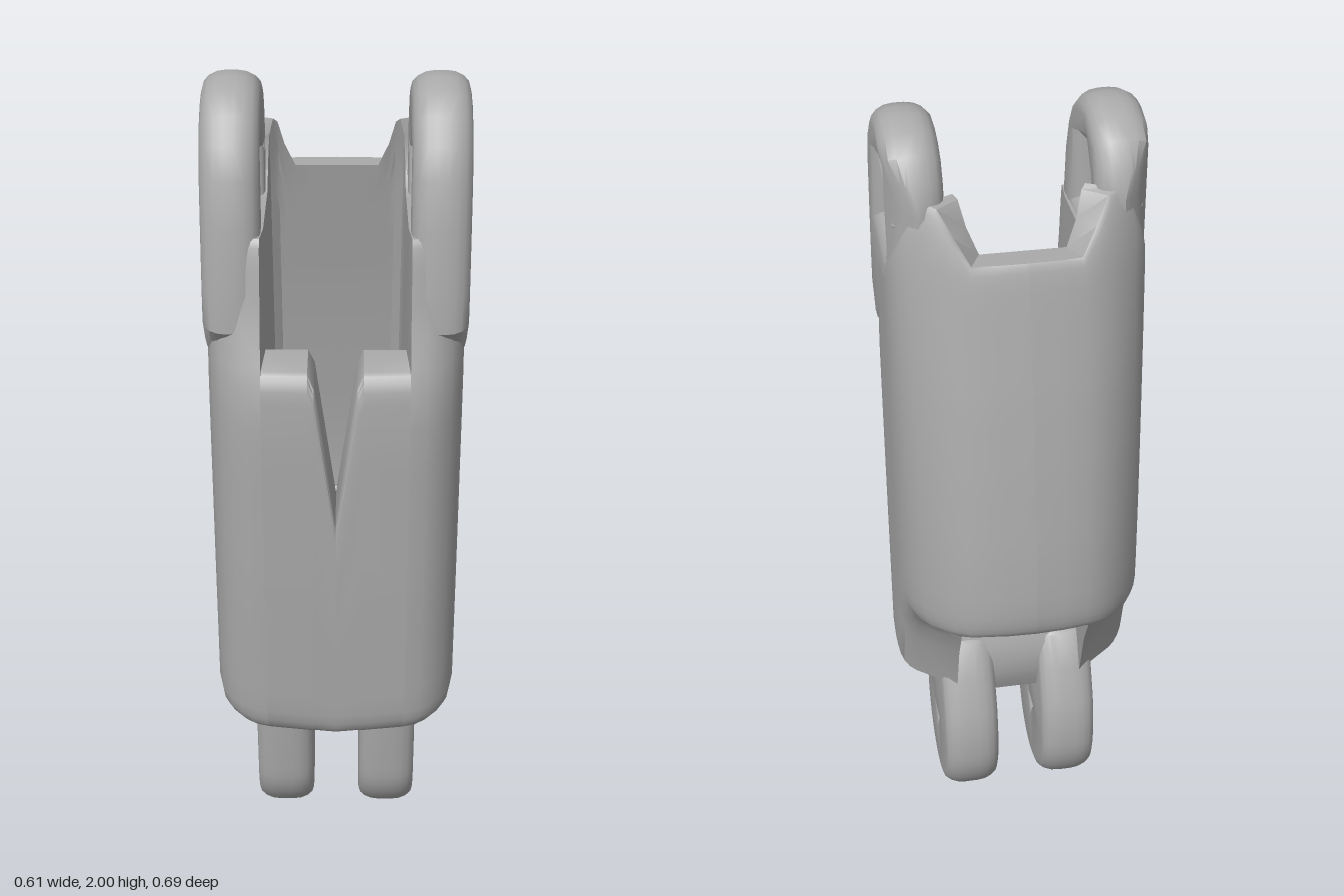
import * as THREE from 'three';
import { toCreasedNormals } from 'three/addons/utils/BufferGeometryUtils.js';

const lerp = THREE.MathUtils.lerp;

// Piecewise linear curve through [y, value] knots
function curve(knots) {
  return (y) => {
    if (y <= knots[0][0]) return knots[0][1];
    for (let i = 1; i < knots.length; i++) {
      const [a, va] = knots[i - 1], [b, vb] = knots[i];
      if (y <= b) return lerp(va, vb, (y - a) / (b - a));
    }
    return knots[knots.length - 1][1];
  };
}
const frontZ = curve([[0.36, 0.305], [0.8, 0.332], [1.2, 0.347], [1.35, 0.345], [1.43, 0.312], [1.5, 0.292], [1.7, 0.265]]);
const backZ = curve([[0.85, 0.347], [1.0, 0.333], [1.2, 0.305], [1.4, 0.272], [1.72, 0.208], [1.85, 0.165]]);

// Wall columns: outer x, outer depth (-1 back .. 1 front), inner x, inner depth (0 back .. 1 front), bottom y, top y
const frontColumns = [
  [0, 1, 0, 1, 0.345, 1.0],
  [0.05, 1, 0.05, 1, 0.35, 1.35],
  [0.065, 1, 0.065, 1, 0.35, 1.38],
  [0.172, 0.99, 0.165, 1, 0.36, 1.38],
];
const sideColumns = [
  [0.172, 0.99, 0.165, 1, 0.36, 1.68],
  [0.21, 0.975, 0.165, 0.99, 0.365, 1.68],
  [0.24, 0.93, 0.165, 0.98, 0.37, 1.68],
  [0.267, 0.85, 0.165, 0.94, 0.375, 1.68],
  [0.287, 0.75, 0.165, 0.9, 0.38, 1.68],
  [0.3, 0.55, 0.165, 0.75, 0.385, 1.68],
  [0.305, 0.25, 0.165, 0.5, 0.4, 1.68],
  [0.305, 0.04, 0.165, 0.38, 0.42, 1.68],
  [0.305, -0.09, 0.165, 0.28, 0.57, 1.68],
  [0.304, -0.2, 0.165, 0.2, 0.64, 1.69],
  [0.298, -0.38, 0.165, 0.12, 0.715, 1.72],
  [0.283, -0.54, 0.163, 0.08, 0.725, 1.76],
  [0.26, -0.665, 0.16, 0.04, 0.735, 1.81],
  [0.23, -0.775, 0.15, 0.02, 0.745, 1.85],
  [0.2, -0.86, 0.14, 0, 0.75, 1.84],
  [0.165, -0.925, 0.125, 0, 0.755, 1.78],
  [0.13, -0.965, 0.1, 0, 0.76, 1.72],
  [0.07, -0.99, 0.06, 0, 0.76, 1.72],
  [0, -1, 0, 0, 0.76, 1.72],
];

// Solid curved wall with rounded outer rims, swept from column to column
function wall(columns) {
  const ROUND = 0.07;
  const inset = (d) => (d >= ROUND ? 0 : 0.3 * (1 - Math.sqrt(1 - (1 - d / ROUND) ** 2)));
  const loops = columns.map(([ox, od, ix, id, y0, y1]) => {
    const ys = [0, 0.006, 0.02, 0.04, ROUND].map((d) => y0 + d);
    for (let k = 1; k < 16; k++) ys.push(lerp(y0 + ROUND, y1 - ROUND, k / 16));
    ys.push(...[ROUND, 0.04, 0.02, 0.006, 0].map((d) => y1 - d));
    const inner = ys.map((y) => [ix, y, lerp(0.07 - backZ(y), 0.19, id)]);
    const outer = ys.map((y, j) => {
      const z = od * (od > 0 ? frontZ(y) : backZ(y));
      const f = inset(y - y0) + 0.4 * inset(y1 - y);
      return [lerp(ox, inner[j][0], f), y, lerp(z, inner[j][2], f)];
    });
    return [...outer, ...inner.reverse()];
  });
  const pos = [];
  const quad = (a, b, c, d) => pos.push(...a, ...b, ...c, ...a, ...c, ...d);
  const n = loops[0].length;
  for (let i = 0; i + 1 < loops.length; i++)
    for (let j = 0; j < n; j++) {
      const k = (j + 1) % n;
      quad(loops[i][j], loops[i + 1][j], loops[i + 1][k], loops[i][k]);
    }
  // End caps
  const first = loops[0], last = loops[loops.length - 1];
  for (let j = 0; j + 1 < n / 2; j++) {
    quad(first[j], first[j + 1], first[n - 2 - j], first[n - 1 - j]);
    quad(last[j], last[n - 1 - j], last[n - 2 - j], last[j + 1]);
  }
  const geo = new THREE.BufferGeometry();
  geo.setAttribute('position', new THREE.Float32BufferAttribute(pos, 3));
  return geo;
}

// Side profile of [z, y] points extruded from x0 to x1 with rounded edges;
// outline and hole must run in opposite directions
function slab(points, hole, x0, x1, bevelSize, bevelThickness) {
  const to2 = (list) => list.map(([z, y]) => new THREE.Vector2(-z, y));
  const shape = new THREE.Shape(to2(points));
  if (hole) shape.holes.push(new THREE.Path(to2(hole)));
  const geo = new THREE.ExtrudeGeometry(shape, {
    depth: x1 - x0 - 2 * bevelThickness, steps: 1, bevelEnabled: bevelSize > 0,
    bevelSize, bevelThickness, bevelOffset: -bevelSize, bevelSegments: 4,
  });
  return geo.rotateY(Math.PI / 2).translate(x0 + bevelThickness, 0, 0);
}

// Mirrored copy across x, with the corner order restored
function mirrored(source) {
  const geo = source.clone().scale(-1, 1, 1);
  const p = geo.attributes.position;
  const a = new THREE.Vector3(), b = new THREE.Vector3();
  for (let i = 0; i < p.count; i += 3) {
    a.fromBufferAttribute(p, i + 1);
    b.fromBufferAttribute(p, i + 2);
    p.setXYZ(i + 1, b.x, b.y, b.z);
    p.setXYZ(i + 2, a.x, a.y, a.z);
  }
  return geo;
}

export function createModel() {
  const model = new THREE.Group();
  model.name = 'fingerSegment';
  const grey = new THREE.MeshStandardMaterial({ color: 0xaaaaaa });
  grey.name = 'grey plastic';

  const add = (name, geo) => {
    geo.deleteAttribute('normal');
    geo.deleteAttribute('uv');
    geo.computeVertexNormals();
    const mesh = new THREE.Mesh(toCreasedNormals(geo, 0.6), grey);
    mesh.name = name;
    model.add(mesh);
  };
  const addPair = (name, geo) => {
    const twin = mirrored(geo);
    add(name + 'Left', geo);
    add(name + 'Right', twin);
  };

  // Hollow shell with a notched front
  addPair('frontWall', wall(frontColumns));
  addPair('sideAndBackWall', wall(sideColumns));

  // Upper hinge loops, trimmed to follow the rounded back
  const loop = slab(
    [[0.2, 1.36], [0.285, 1.46], [0.282, 1.55], [0.265, 1.7], [0.25, 1.81], [0.225, 1.88], [0.185, 1.94], [0.13, 1.98],
      [0.07, 1.998], [0.02, 1.998], [-0.04, 1.98], [-0.09, 1.945], [-0.122, 1.89], [-0.14, 1.82], [-0.13, 1.7], [-0.1, 1.58]],
    [[-0.02, 1.695], [-0.07, 1.78], [0.015, 1.885], [0.135, 1.86], [0.135, 1.71]],
    0.17, 0.305, 0.04, 0.055);
  const p = loop.attributes.position;
  for (let i = 0; i < p.count; i++) {
    const behind = Math.max(0, -p.getZ(i) - 0.03);
    p.setX(i, Math.min(p.getX(i), 0.305 - 6 * behind * behind));
  }
  addPair('hingeLoop', loop);

  // Sloped floor inside the shell
  add('floor', slab(
    [[0.23, 0.34], [0.24, 0.7], [0.15, 0.57], [-0.04, 0.55], [-0.06, 0.5], [-0.07, 0.42], [-0.04, 0.34]],
    null, -0.18, 0.18, 0, 0));

  // Lower hinge lugs with blind triangular sockets
  const lugOutline = [[0.27, 0.46], [0.262, 0.32]];
  for (let i = 0; i <= 20; i++) {
    const a = -Math.PI * i / 20;
    lugOutline.push([0.045 + 0.203 * Math.cos(a), 0.205 + 0.203 * Math.sin(a)]);
  }
  lugOutline.push([-0.155, 0.27], [-0.14, 0.34], [-0.1, 0.43], [-0.06, 0.52], [-0.03, 0.54], [0.0, 0.54]);
  const socket = [[0.051, 0.199], [0.045, 0.19], [0.039, 0.199]];
  addPair('lug', slab(lugOutline, socket, 0.06, 0.203, 0.032, 0.055));
  addPair('socketBottom', new THREE.BoxGeometry(0.03, 0.04, 0.05).toNonIndexed().translate(0.132, 0.195, 0.045));
  return model;
}
